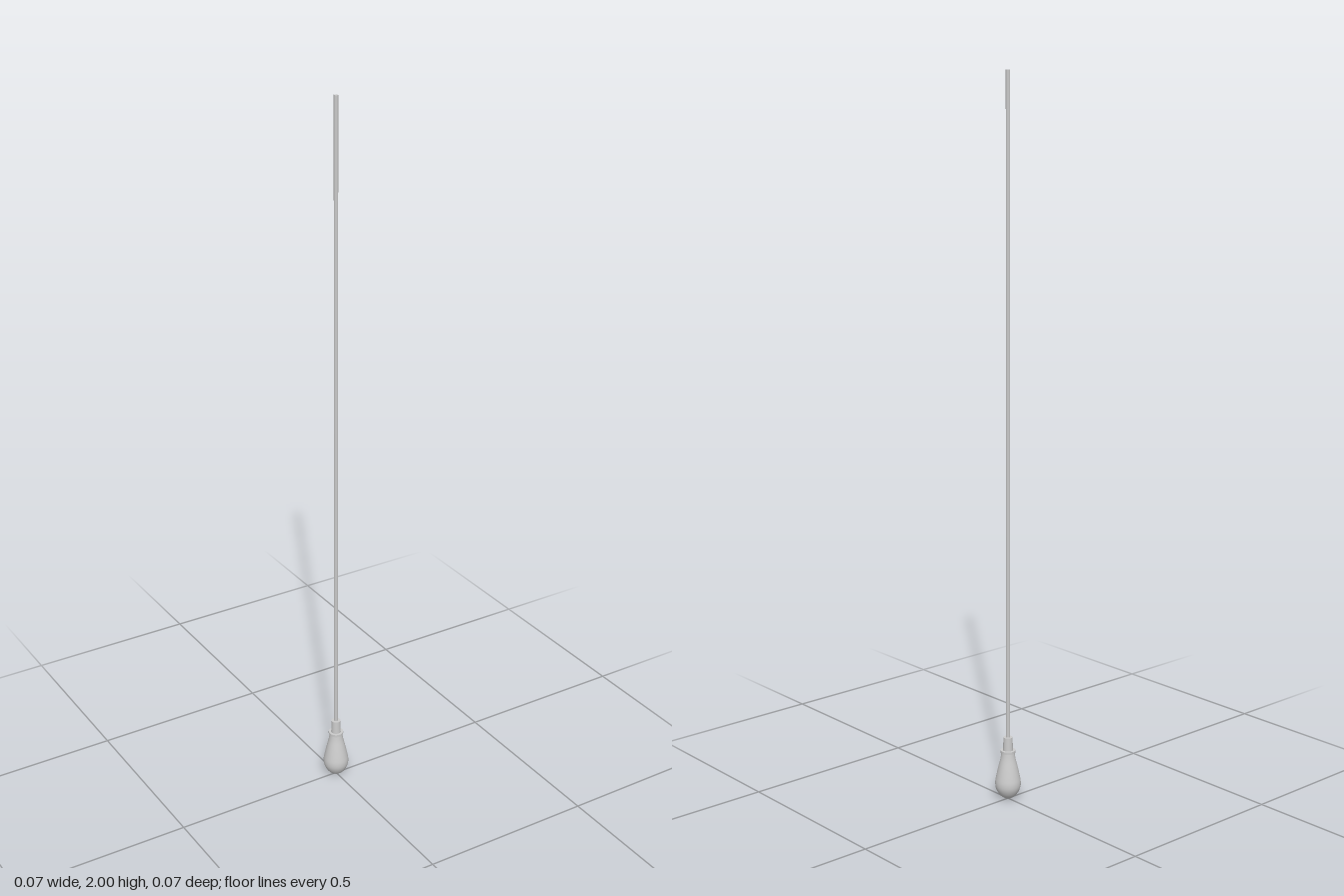
import * as THREE from 'three';

const material = new THREE.MeshStandardMaterial({ color: 0xcccccc });

// Smooth lathe through the given [radius, height] points
function turned(name, points, segments = 32) {
  const geometry = new THREE.LatheGeometry(points.map(([r, y]) => new THREE.Vector2(r, y)), segments);
  const mesh = new THREE.Mesh(geometry, material);
  mesh.name = name;
  return mesh;
}

// Cylinder standing between two heights
function post(name, rTop, rBottom, y0, y1, segments = 32) {
  const mesh = new THREE.Mesh(new THREE.CylinderGeometry(rTop, rBottom, y1 - y0, segments), material);
  mesh.position.y = (y0 + y1) / 2;
  mesh.name = name;
  return mesh;
}

export function createModel() {
  const group = new THREE.Group();
  group.name = 'hangingBulb';

  // Teardrop glass, widest near the bottom
  const outline = new THREE.SplineCurve([
    [0, 0], [0.012, 0.004], [0.025, 0.015], [0.034, 0.032], [0.036, 0.049],
    [0.033, 0.068], [0.027, 0.095], [0.021, 0.12], [0.018, 0.139],
  ].map(([x, y]) => new THREE.Vector2(x, y)));
  const profile = outline.getPoints(32).map((p) => [Math.max(p.x, 0), Math.max(p.y, 0)]);
  group.add(turned('bulb', profile));

  // Collar ring and socket
  group.add(post('collar', 0.021, 0.021, 0.137, 0.144));
  group.add(post('socket', 0.0128, 0.0138, 0.144, 0.182));

  // Long thin cord
  group.add(post('cord', 0.0058, 0.0058, 0.18, 2, 8));

  return group;
}
